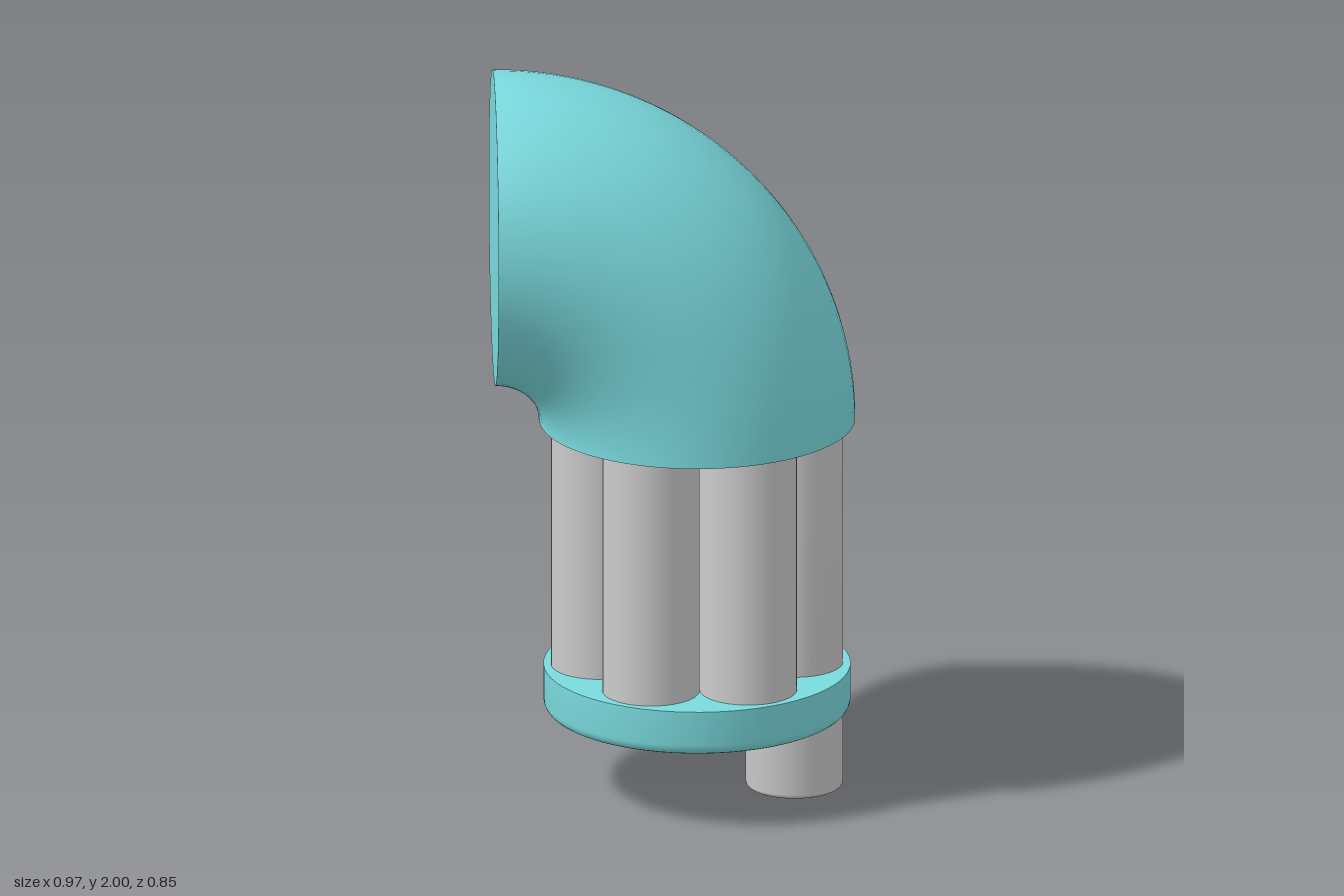
import * as THREE from 'three';
import { toCreasedNormals } from 'three/addons/utils/BufferGeometryUtils.js';

const AXIS_X = 0.0575;   // vertical axis shared by the barrels and the disc
const ELBOW_X = -0.485;  // centre of the elbow's bend
const ELBOW_Y = 1.035;
const BEND = 0.5425;
const TUBE = 0.4225;

const teal = new THREE.MeshStandardMaterial({ color: 0x7adade });
const grey = new THREE.MeshStandardMaterial({ color: 0xcccccc });

function add(parent, name, geometry, material, x = 0, y = 0, z = 0) {
  const mesh = new THREE.Mesh(geometry, material);
  mesh.name = name;
  mesh.position.set(x, y, z);
  parent.add(mesh);
  return mesh;
}

// Points of a quarter round about (cx, cy), from angle a0 to a1
function arc(cx, cy, r, a0, a1, n = 5) {
  return Array.from({ length: n + 1 }, (_, i) => {
    const a = a0 + ((a1 - a0) * i) / n;
    return new THREE.Vector2(cx + r * Math.cos(a), cy + r * Math.sin(a));
  });
}

function turned(points, segments) {
  return toCreasedNormals(new THREE.LatheGeometry(points, segments), 0.6);
}

export function createModel() {
  const model = new THREE.Group();
  model.name = 'barrelCannon';
  const P = (x, y) => new THREE.Vector2(x, y);

  // Quarter-bend elbow, closed at both ends
  const elbow = new THREE.Group();
  elbow.name = 'elbow';
  elbow.position.set(ELBOW_X, ELBOW_Y, 0);
  model.add(elbow);
  add(elbow, 'elbowShell', new THREE.TorusGeometry(BEND, TUBE, 64, 48, Math.PI / 2), teal);
  const cap = new THREE.CircleGeometry(TUBE, 64);
  add(elbow, 'elbowLowerCap', cap, teal, BEND, 0, 0).rotation.x = Math.PI / 2;
  add(elbow, 'elbowSideCap', cap, teal, 0, BEND, 0).rotation.y = -Math.PI / 2;

  // Disc with a rounded lower edge
  const R = 0.41, e = 0.03;
  add(model, 'barrelDisc', turned([
    P(0, 0.22),
    ...arc(R - e, 0.22 + e, e, -Math.PI / 2, 0),
    P(R, 0.345), P(0, 0.345),
  ], 64), teal, AXIS_X);

  // Ring of six touching barrels
  const barrels = new THREE.Group();
  barrels.name = 'barrels';
  barrels.position.x = AXIS_X;
  model.add(barrels);
  const r = 0.13, top = 1.04;
  const plain = new THREE.CylinderGeometry(r, r, top - 0.3, 40);

  // The firing barrel passes through the disc and has an open bore
  const bore = 0.092, lip = 0.012;
  const firing = turned([
    P(0, 0.34), P(bore, 0.34),
    ...arc(bore + lip, lip, lip, Math.PI, Math.PI * 1.5),
    ...arc(r - lip, lip, lip, -Math.PI / 2, 0),
    P(r, top), P(0, top),
  ], 40);

  for (let i = 0; i < 6; i++) {
    const a = (i * Math.PI) / 3;
    const x = 0.26 * Math.cos(a), z = 0.26 * Math.sin(a);
    if (i === 0) add(barrels, 'firingBarrel', firing, grey, x, 0, z);
    else add(barrels, 'barrel', plain, grey, x, (top + 0.3) / 2, z);
  }

  return model;
}
